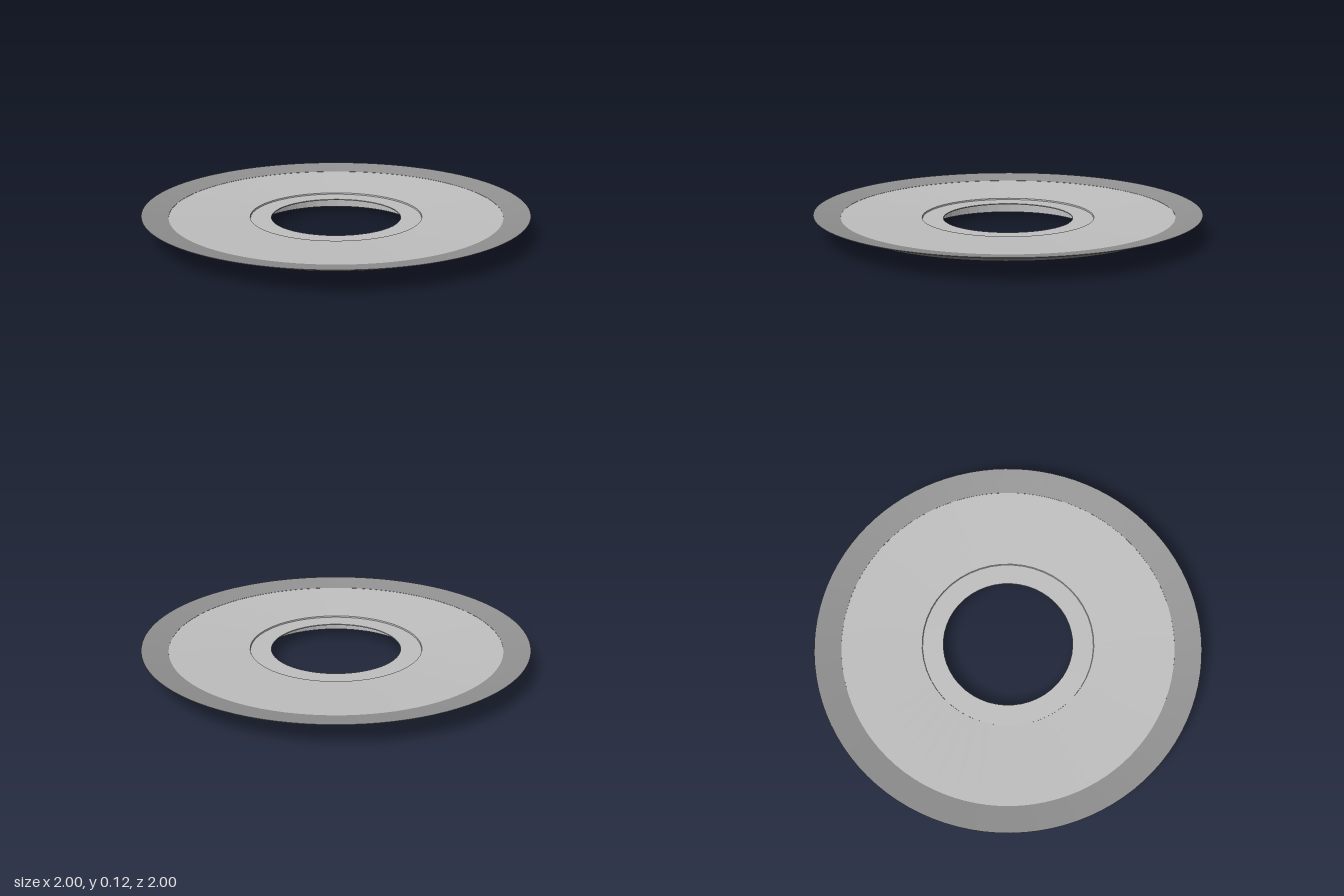
import * as THREE from 'three';
import { toCreasedNormals } from 'three/addons/utils/BufferGeometryUtils.js';

// Closed (radius, height) outline spun around the y axis
function ring(name, outline, segments, crease, material) {
  const points = [...outline, outline[0]].map(([r, y]) => new THREE.Vector2(r, y));
  const geometry = toCreasedNormals(new THREE.LatheGeometry(points, segments), crease);
  const mesh = new THREE.Mesh(geometry, material);
  mesh.name = name;
  return mesh;
}

export function createModel() {
  const lightGrey = new THREE.MeshStandardMaterial({ color: 0xc0c0c0 });
  lightGrey.name = 'lightGrey';
  const darkGrey = new THREE.MeshStandardMaterial({ color: 0x929292 });
  darkGrey.name = 'darkGrey';

  const model = new THREE.Group();
  model.name = 'dishedRing';

  // Faceted dish: bowed underside, recessed thin ledge around the hole
  model.add(ring('dish', [
    [0.337, 0.066], [0.445, 0.066], [0.445, 0], [0.45, 0],
    [0.56, 0.016], [0.66, 0.033], [0.76, 0.053], [0.865, 0.076],
    [0.865, 0.098], [0.447, 0.078], [0.445, 0.071], [0.337, 0.071],
  ], 48, 0.01, lightGrey));

  // Smooth, sharp-edged outer rim with a small lip below the dish
  model.add(ring('rim', [
    [0.863, 0.071], [0.875, 0.071], [1, 0.119], [1, 0.121], [0.863, 0.099],
  ], 96, 0.3, darkGrey));

  return model;
}
